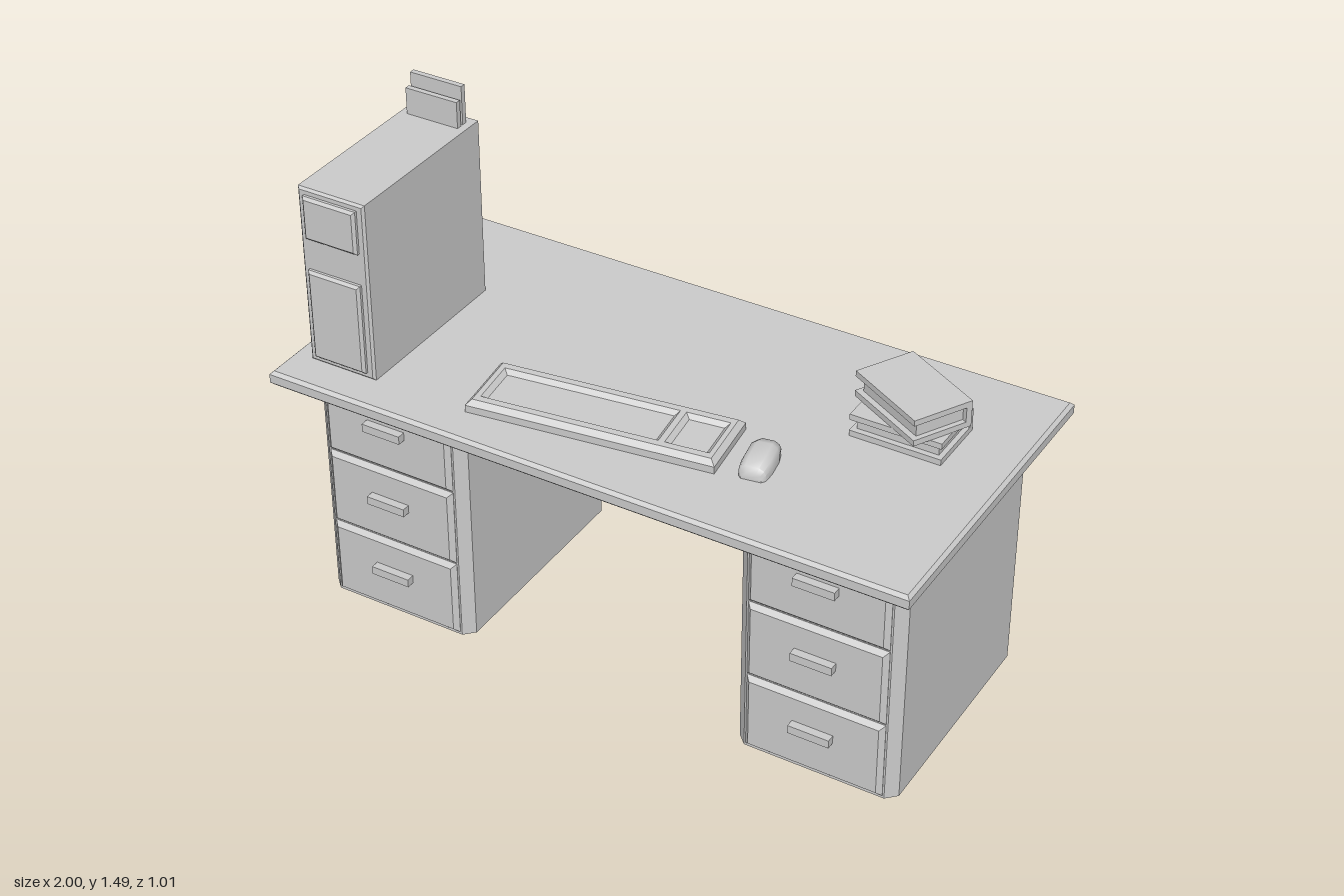
import * as THREE from 'three';
import { toCreasedNormals } from 'three/addons/utils/BufferGeometryUtils.js';

const grey = new THREE.MeshStandardMaterial({ color: 0xcccccc });

function add(parent, name, geometry, x = 0, y = 0, z = 0) {
  const mesh = new THREE.Mesh(geometry, grey);
  mesh.name = name;
  mesh.position.set(x, y, z);
  parent.add(mesh);
  return mesh;
}

function addGroup(parent, name, x, y, z, turn = 0) {
  const group = new THREE.Group();
  group.name = name;
  group.position.set(x, y, z);
  group.rotation.y = turn;
  parent.add(group);
  return group;
}

const box = (w, h, d) => new THREE.BoxGeometry(w, h, d);

// Rectangle outline around a centre
function rect(w, h, cx = 0, cy = 0, Type = THREE.Shape) {
  const shape = new Type();
  shape.moveTo(cx - w / 2, cy - h / 2);
  shape.lineTo(cx + w / 2, cy - h / 2);
  shape.lineTo(cx + w / 2, cy + h / 2);
  shape.lineTo(cx - w / 2, cy + h / 2);
  shape.closePath();
  return shape;
}

// Extrusion of total depth d with chamfered rims, centred on z
function chamfered(shape, d, c) {
  return new THREE.ExtrudeGeometry(shape, {
    depth: d - 2 * c, bevelThickness: c, bevelSize: c, bevelSegments: 1,
  }).translate(0, 0, c - d / 2);
}

const chamferBox = (w, h, d, c) => chamfered(rect(w - 2 * c, h - 2 * c), d, c);

// Drawer pedestal with cut vertical corners
function addPedestal(parent, name, x) {
  const group = addGroup(parent, name, x, 0, 0.01);
  const w = 0.2475, d = 0.375, c = 0.03;
  const outline = new THREE.Shape([
    [w - c, -d], [w, c - d], [w, d - c], [w - c, d],
    [c - w, d], [-w, d - c], [-w, c - d], [c - w, -d],
  ].map(([px, py]) => new THREE.Vector2(px, py)));
  const body = new THREE.ExtrudeGeometry(outline, { depth: 0.765, bevelEnabled: false });
  add(group, 'pedestalBody', body.rotateX(-Math.PI / 2));
  for (let i = 0; i < 3; i++) {
    const y = 0.133 + i * 0.2525;
    add(group, 'drawerFront', chamferBox(0.424, 0.248, 0.06, 0.014), 0, y, d - 0.015);
    add(group, 'drawerHandle', box(0.126, 0.026, 0.03), 0, y + 0.02, d + 0.025);
  }
}

// Book with the spine at the back and recessed pages on the other sides
function addBook(parent, name, x, y, z, w, h, d, turn) {
  const group = addGroup(parent, name, x, y, z, turn);
  const t = 0.018;
  add(group, 'bottomCover', box(w, t, d), 0, t / 2, 0);
  add(group, 'topCover', box(w, t, d), 0, h - t / 2, 0);
  add(group, 'spine', box(w, h - 2 * t, t), 0, h / 2, (t - d) / 2);
  add(group, 'pages', box(w - 0.03, h - 2 * t, d - t - 0.018), 0, h / 2, (t - 0.018) / 2);
}

// Mouse shell lofted through cross-sections: z, half width, height
function mouseGeometry() {
  const sections = [
    [-0.077, 0.02, 0.022], [-0.062, 0.036, 0.042], [-0.028, 0.043, 0.055],
    [0.03, 0.044, 0.046], [0.066, 0.039, 0.037], [0.077, 0.029, 0.022],
  ];
  const profile = [[-1, 0], [-1, 0.5], [-0.85, 0.8], [-0.5, 1], [0.5, 1], [0.85, 0.8], [1, 0.5], [1, 0]];
  const n = profile.length, last = (sections.length - 1) * n;
  const points = [], index = [];
  for (const [z, w, h] of sections) {
    for (const [px, py] of profile) points.push(px * w, py * h, z);
  }
  for (let i = 0; i < sections.length - 1; i++) {
    for (let j = 0; j < n; j++) {
      const a = i * n + j, b = i * n + (j + 1) % n;
      index.push(a, a + n, b, b, a + n, b + n);
    }
  }
  for (let j = 1; j < n - 1; j++) {
    index.push(0, j, j + 1, last, last + j + 1, last + j);
  }
  const geometry = new THREE.BufferGeometry();
  geometry.setAttribute('position', new THREE.Float32BufferAttribute(points, 3));
  geometry.setIndex(index);
  return toCreasedNormals(geometry, 0.8);
}

export function createModel() {
  const model = new THREE.Group();
  model.name = 'desk';
  const top = 0.81;

  // Desk
  add(model, 'deskTop', chamferBox(2, 1.01, 0.047, 0.01).rotateX(-Math.PI / 2), 0, top - 0.0235, 0);
  addPedestal(model, 'leftPedestal', 0.6875);
  addPedestal(model, 'rightPedestal', -0.6875);

  // Computer tower with two front panels and two upright cards
  const tower = addGroup(model, 'computerTower', -0.826, top, 0);
  add(tower, 'towerCase', chamferBox(0.22, 0.562, 0.56, 0.007), 0, 0.281, 0.115);
  add(tower, 'upperPanel', chamferBox(0.174, 0.135, 0.05, 0.008), 0, 0.475, 0.386);
  add(tower, 'lowerPanel', chamferBox(0.174, 0.285, 0.05, 0.008), 0, 0.165, 0.386);
  add(tower, 'tallCard', box(0.172, 0.14, 0.017), 0, 0.612, -0.125);
  add(tower, 'shortCard', box(0.172, 0.1, 0.017), 0, 0.594, -0.099);

  // Keyboard: chamfered frame with two sunken key fields
  const keyboard = addGroup(model, 'keyboard', -0.066, top, 0.231, 0.13);
  const frame = rect(0.708, 0.195);
  const fields = [[0.53, -0.073], [0.13, 0.275]];
  for (const [w, x] of fields) frame.holes.push(rect(w, 0.152, x, 0, THREE.Path));
  add(keyboard, 'keyboardFrame', chamfered(frame, 0.052, 0.015).rotateX(-Math.PI / 2), 0, 0.011, 0);
  for (const [w, x] of fields) add(keyboard, 'keyField', box(w - 0.02, 0.024, 0.132), x, 0.012, 0);

  // Mouse
  const mouse = add(model, 'mouse', mouseGeometry(), 0.4, top, 0.195);
  mouse.rotation.y = 0.16;

  // Stacked books
  addBook(model, 'lowerBook', 0.677, top, -0.143, 0.276, 0.07, 0.194, 0);
  addBook(model, 'upperBook', 0.677, top + 0.07, -0.147, 0.278, 0.082, 0.188, -0.5);
  return model;
}
